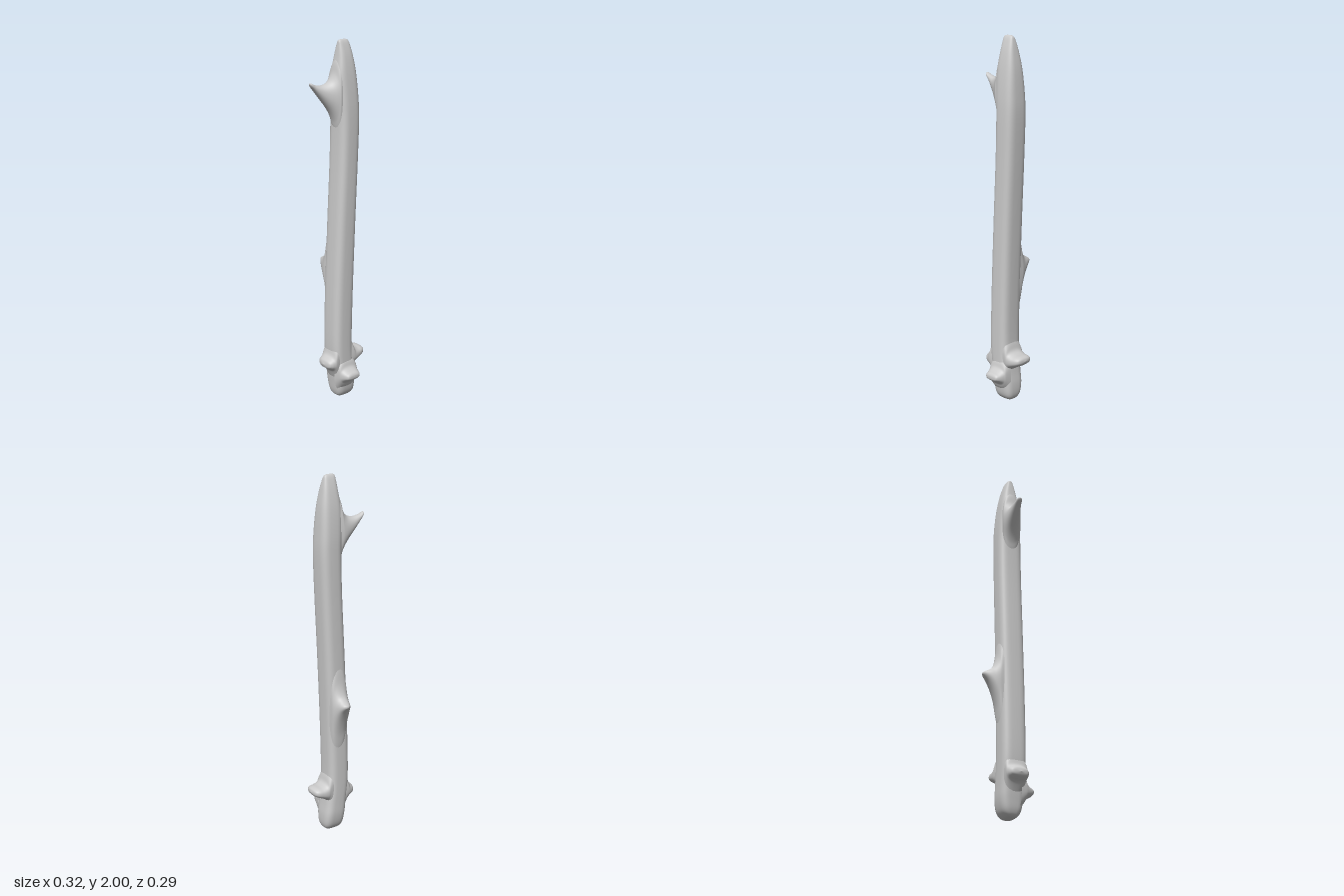
import * as THREE from 'three';

const material = new THREE.MeshStandardMaterial({ color: 0xcccccc, side: THREE.DoubleSide });

// Smooth skin through rows of [t, aMin, aMax, bMin, bMax]: t runs along `axis`,
// a and b are the ranges on the next two axes in cyclic order (x>y>z>x).
// `power` sets how square the rounded cross-section is.
function loft(name, axis, rows, power, sides = 40, steps = 6) {
  const spline = new THREE.CubicInterpolant(rows.map((_, i) => i), rows.flat(), 5, new Float32Array(5));
  const count = (rows.length - 1) * steps;
  const positions = [], index = [];
  const round = (v) => Math.sign(v) * Math.abs(v) ** (2 / power);
  for (let i = 0; i <= count; i++) {
    const [t, a0, a1, b0, b1] = spline.evaluate(i / steps);
    for (let j = 0; j < sides; j++) {
      const angle = (j / sides) * Math.PI * 2;
      const p = [0, 0, 0];
      p[axis] = t;
      p[(axis + 1) % 3] = (a0 + a1) / 2 + round(Math.cos(angle)) * (a1 - a0) / 2;
      p[(axis + 2) % 3] = (b0 + b1) / 2 + round(Math.sin(angle)) * (b1 - b0) / 2;
      positions.push(...p);
    }
  }
  const up = rows[rows.length - 1][0] > rows[0][0];
  for (let i = 0; i < count; i++) {
    for (let j = 0; j < sides; j++) {
      const a = i * sides + j, b = i * sides + (j + 1) % sides;
      const c = a + sides, d = b + sides;
      if (up) index.push(a, b, c, b, d, c);
      else index.push(a, c, b, b, c, d);
    }
  }
  const geometry = new THREE.BufferGeometry();
  geometry.setAttribute('position', new THREE.Float32BufferAttribute(positions, 3));
  geometry.setIndex(index);
  geometry.computeVertexNormals();
  const mesh = new THREE.Mesh(geometry, material);
  mesh.name = name;
  return mesh;
}

export function createModel() {
  const X = 0, Y = 1, Z = 2;
  const group = new THREE.Group();
  group.name = 'branch';

  // Gently bowed stem: y, z range, x range
  group.add(loft('stem', Y, [
    [0.005, 0.016, 0.016, 0.03, 0.03],
    [0.01, -0.012, 0.045, -0.012, 0.068],
    [0.04, -0.037, 0.069, -0.03, 0.086],
    [0.1, -0.05, 0.08, -0.039, 0.088],
    [0.18, -0.052, 0.084, -0.047, 0.078],
    [0.32, -0.053, 0.085, -0.06, 0.066],
    [0.6, -0.053, 0.085, -0.055, 0.071],
    [1.0, -0.053, 0.085, -0.038, 0.086],
    [1.35, -0.053, 0.085, -0.021, 0.102],
    [1.58, -0.053, 0.085, -0.015, 0.11],
    [1.7, -0.05, 0.081, -0.018, 0.107],
    [1.82, -0.039, 0.07, -0.02, 0.098],
    [1.91, -0.023, 0.055, -0.008, 0.084],
    [1.97, -0.006, 0.038, 0, 0.071],
    [1.995, 0.006, 0.026, 0.006, 0.06],
    [2.0, 0.016, 0.016, 0.032, 0.032],
  ], 3.4));

  // Large upper thorn, pointing up and outward: x, y range, z range
  group.add(loft('upperThorn', X, [
    [0.02, 1.42, 1.96, -0.034, 0.062],
    [-0.012, 1.53, 1.89, -0.043, 0.068],
    [-0.026, 1.585, 1.825, -0.046, 0.063],
    [-0.05, 1.635, 1.785, -0.046, 0.049],
    [-0.09, 1.69, 1.77, -0.042, 0.026],
    [-0.13, 1.74, 1.777, -0.035, 0.008],
    [-0.155, 1.77, 1.788, -0.027, 0.001],
    [-0.162, 1.785, 1.785, -0.012, -0.012],
  ], 2.2));

  // Back thorn: z, x range, y range
  group.add(loft('backThorn', Z, [
    [-0.025, -0.036, 0.068, 0.4, 1.09],
    [-0.051, -0.035, 0.067, 0.5, 0.97],
    [-0.065, -0.034, 0.066, 0.595, 0.875],
    [-0.085, -0.028, 0.06, 0.665, 0.82],
    [-0.11, -0.016, 0.052, 0.72, 0.797],
    [-0.132, -0.001, 0.042, 0.752, 0.785],
    [-0.142, 0.012, 0.029, 0.765, 0.778],
    [-0.144, 0.02, 0.02, 0.771, 0.771],
  ], 2.2));

  // Front knob: z, x range, y range
  group.add(loft('frontKnob', Z, [
    [0.05, -0.05, 0.085, 0.04, 0.28],
    [0.082, -0.045, 0.081, 0.085, 0.235],
    [0.095, -0.041, 0.077, 0.108, 0.2],
    [0.115, -0.033, 0.07, 0.124, 0.183],
    [0.132, -0.025, 0.062, 0.134, 0.175],
    [0.14, -0.014, 0.052, 0.143, 0.165],
    [0.142, 0.018, 0.018, 0.154, 0.154],
  ], 2.6));

  // Side knobs: x, y range, z range
  group.add(loft('leftKnob', X, [
    [0.03, 0.1, 0.42, -0.045, 0.076],
    [0.065, 0.172, 0.34, -0.049, 0.081],
    [0.08, 0.194, 0.296, -0.05, 0.081],
    [0.105, 0.208, 0.28, -0.048, 0.078],
    [0.135, 0.222, 0.276, -0.042, 0.07],
    [0.153, 0.236, 0.268, -0.026, 0.054],
    [0.16, 0.252, 0.252, 0.013, 0.013],
  ], 2.5));
  group.add(loft('rightKnob', X, [
    [-0.02, 0.08, 0.4, -0.045, 0.076],
    [-0.052, 0.155, 0.318, -0.045, 0.081],
    [-0.066, 0.18, 0.272, -0.043, 0.079],
    [-0.083, 0.192, 0.255, -0.037, 0.073],
    [-0.097, 0.203, 0.243, -0.022, 0.06],
    [-0.105, 0.222, 0.222, 0.018, 0.018],
  ], 2.4));

  return group;
}
